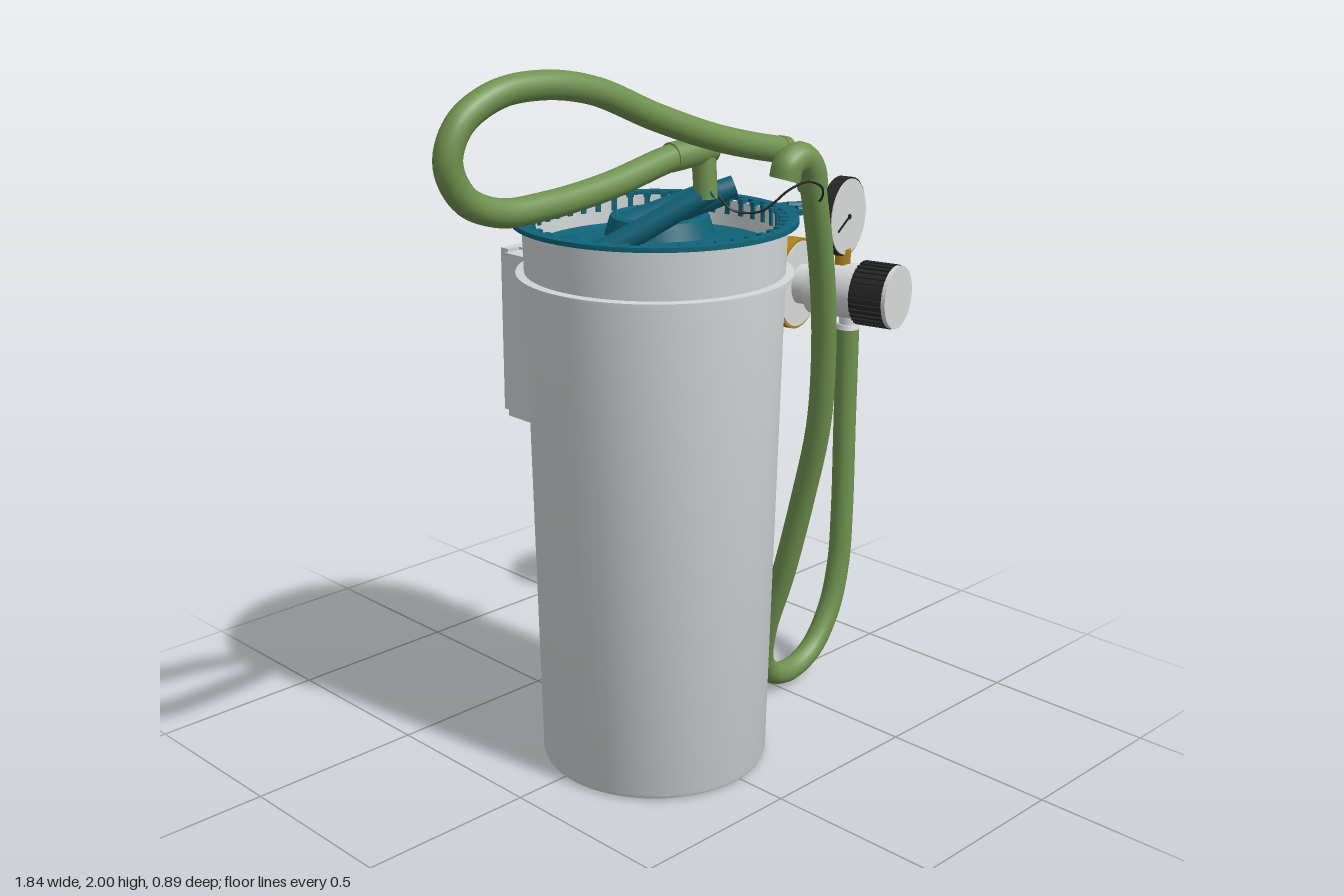
import * as THREE from 'three';
import { toCreasedNormals } from 'three/addons/utils/BufferGeometryUtils.js';

const V = (x, y, z) => new THREE.Vector3(x, y, z);
const mat = (name, color, side = THREE.FrontSide) => {
  const m = new THREE.MeshStandardMaterial({ color, side });
  m.name = name;
  return m;
};

export function createModel() {
  const plastic = mat('pale grey plastic', 0xd0d5d5, THREE.DoubleSide);
  const teal = mat('teal plastic', 0x0f6378, THREE.DoubleSide);
  const green = mat('green hose', 0x6f924f, THREE.DoubleSide);
  const brass = mat('brass', 0xb0831c);
  const black = mat('black', 0x262627);
  const white = mat('light grey metal', 0xd6d7d8);

  const model = new THREE.Group();
  model.name = 'suctionCanister';

  const add = (parent, name, geo, material, x = 0, y = 0, z = 0) => {
    const m = new THREE.Mesh(geo, material);
    m.name = name;
    m.position.set(x, y, z);
    parent.add(m);
    return m;
  };
  const lathe = (pts, seg = 64) => toCreasedNormals(
    new THREE.LatheGeometry(pts.map(p => new THREE.Vector2(p[0], p[1])), seg), 0.6);
  // Cylinder between two points
  const rod = (parent, name, a, b, r0, r1, material, seg = 24) => {
    const d = b.clone().sub(a);
    const m = add(parent, name, new THREE.CylinderGeometry(r1, r0, d.length(), seg), material);
    m.position.copy(a).addScaledVector(d, 0.5);
    m.quaternion.setFromUnitVectors(V(0, 1, 0), d.normalize());
    return m;
  };
  const tube = (parent, name, pts, r, material, seg = 120, sides = 18) => {
    const curve = new THREE.CatmullRomCurve3(pts.map(p => V(...p)), false, 'centripetal');
    return add(parent, name, new THREE.TubeGeometry(curve, seg, r, sides), material);
  };

  // Canister: tapered jar with an open rim and a thin lip
  const jar = new THREE.Group();
  jar.name = 'jar';
  jar.position.set(-0.03, 0, 0.043);
  model.add(jar);
  add(jar, 'canisterBody', lathe([
    [0, 0.004], [0.3, 0.004], [0.311, 0.008], [0.316, 0.02], [0.345, 1.39], [0.368, 1.395],
    [0.368, 1.403], [0.345, 1.405], [0.349, 1.535], [0.338, 1.535], [0.334, 1.42]]), plastic);

  // Lid: rim ring, recessed floor and teeth around the edge
  const lid = new THREE.Group();
  lid.name = 'lid';
  jar.add(lid);
  add(lid, 'lidRim', lathe([[0.349, 1.534], [0.377, 1.534], [0.377, 1.546], [0.349, 1.546], [0.349, 1.534]]), teal);
  add(lid, 'lidFloor', lathe([[0.336, 1.45], [0.325, 1.465], [0.3, 1.455], [0.15, 1.468], [0, 1.472]]), teal);
  const teeth = 44;
  for (let i = 0; i < teeth; i++) {
    const a = i / teeth * Math.PI * 2;
    const t = add(lid, 'lidTooth', new THREE.BoxGeometry(0.03, 0.012, 0.02), teal,
      Math.cos(a) * 0.342, 1.539, Math.sin(a) * 0.342);
    t.rotation.y = -a;
    const leg = add(lid, 'lidToothLeg', new THREE.BoxGeometry(0.006, 0.045, 0.014), teal,
      Math.cos(a) * 0.331, 1.52, Math.sin(a) * 0.331);
    leg.rotation.y = -a;
  }
  // Forked pull tab
  const tab = new THREE.Group();
  tab.name = 'pullTab';
  tab.position.y = 1.54;
  tab.rotation.y = -0.44;
  lid.add(tab);
  add(tab, 'tabBase', new THREE.BoxGeometry(0.03, 0.012, 0.12), teal, 0.385, 0, 0);
  for (const s of [-1, 1]) {
    rod(tab, 'tabProng', V(0.39, 0, s * 0.03), V(0.45, 0, s * 0.024), 0.014, 0.012, teal, 12);
  }

  // Lid hub with angled pouring spout
  add(model, 'spoutHub', lathe([[0.155, 1.45], [0.135, 1.515], [0.12, 1.52], [0.06, 1.495], [0, 1.49]], 40),
    teal, 0.1, 0, -0.07);
  rod(model, 'spout', V(0.01, 1.47, -0.15), V(0.225, 1.575, 0.035), 0.042, 0.04, teal);
  rod(model, 'spoutTip', V(0.21, 1.57, 0.025), V(0.255, 1.59, 0.06), 0.032, 0.03, teal);
  for (const s of [-1, 1]) {
    rod(model, 'spoutClip', V(0.2, 1.58, 0.02), V(0.2 + s * 0.02, 1.63, 0.03 - s * 0.02), 0.009, 0.007, teal, 10);
  }
  add(model, 'sealedPort', lathe([[0.055, 1.45], [0.055, 1.485], [0.045, 1.49], [0, 1.49]], 32), teal, -0.195, 0, -0.1);
  // Angled inlet port
  rod(model, 'inletPort', V(-0.27, 1.48, 0.07), V(-0.06, 1.65, 0.275), 0.034, 0.027, teal);

  // Wall bracket: I-shaped section following the jar
  const outline = [[0.12, -0.39], [0.05, -0.39], [0.05, -0.42], [0.08, -0.42], [0.08, -0.45],
    [-0.145, -0.45], [-0.145, -0.42], [-0.105, -0.42], [-0.105, -0.39], [-0.18, -0.39]];
  for (let i = 0; i <= 10; i++) {
    const x = -0.18 + i * 0.03;
    outline.push([x, 0.043 - Math.sqrt(0.335 ** 2 - (x + 0.03) ** 2)]);
  }
  const section = new THREE.Shape(outline.map(p => new THREE.Vector2(p[0], -p[1])));
  const hole = new THREE.Path();
  hole.absarc(-0.03, 0.355, 0.028, 0, Math.PI * 2, true);
  section.holes.push(hole);
  const bracketGeo = new THREE.ExtrudeGeometry(section, { depth: 0.47, bevelEnabled: false, curveSegments: 16 });
  bracketGeo.rotateX(-Math.PI / 2);
  add(model, 'wallBracket', bracketGeo, plastic, 0, 0.932, 0);

  // Looped patient hose
  tube(model, 'loopHose', [[-0.05, 1.752, 0.255], [-0.17, 1.745, 0.25], [-0.4, 1.705, 0.26], [-0.6, 1.687, 0.265],
    [-0.74, 1.69, 0.265], [-0.84, 1.735, 0.265], [-0.882, 1.82, 0.265], [-0.85, 1.9, 0.268], [-0.75, 1.955, 0.272],
    [-0.62, 1.966, 0.28], [-0.47, 1.94, 0.287], [-0.28, 1.86, 0.3], [-0.1, 1.795, 0.312], [0.04, 1.757, 0.32],
    [0.155, 1.732, 0.325]], 0.034, green, 160);
  rod(model, 'loopHoseEnd', V(0.135, 1.736, 0.324), V(0.16, 1.731, 0.325), 0.036, 0.036, green);
  rod(model, 'inletSleeve', V(-0.18, 1.745, 0.25), V(-0.045, 1.754, 0.255), 0.037, 0.037, green);
  rod(model, 'inletElbow', V(-0.07, 1.63, 0.265), V(-0.07, 1.752, 0.255), 0.03, 0.031, green);

  // Vacuum hose from lid to regulator
  tube(model, 'vacuumHose', [[0.085, 1.68, 0.385], [0.1, 1.715, 0.387], [0.145, 1.73, 0.388], [0.185, 1.695, 0.388],
    [0.207, 1.62, 0.383], [0.27, 1.42, 0.362], [0.32, 1.2, 0.336], [0.352, 0.95, 0.3], [0.367, 0.7, 0.235],
    [0.365, 0.45, 0.17], [0.362, 0.26, 0.11], [0.4, 0.13, 0.07], [0.47, 0.065, 0.055], [0.56, 0.047, 0.045],
    [0.66, 0.085, 0.04], [0.74, 0.19, 0.037], [0.78, 0.33, 0.036], [0.791, 0.5, 0.035], [0.791, 0.8, 0.034],
    [0.791, 1.085, 0.034]], 0.034, green, 220);
  tube(model, 'vacuumElbow', [[0.09, 1.672, 0.385], [0.1, 1.708, 0.387], [0.145, 1.722, 0.388],
    [0.183, 1.69, 0.388], [0.2, 1.64, 0.384]], 0.04, green, 30);
  rod(model, 'vacuumElbowEnd', V(0.09, 1.672, 0.385), V(0.094, 1.686, 0.386), 0.039, 0.039, green);
  // Thin tether between the hose ends
  tube(model, 'tether', [[-0.05, 1.64, 0.285], [-0.02, 1.6, 0.31], [0.02, 1.6, 0.37], [0.07, 1.655, 0.42],
    [0.12, 1.67, 0.435], [0.17, 1.65, 0.44], [0.195, 1.61, 0.415], [0.19, 1.6, 0.385]], 0.003, black, 50, 6);

  // Regulator, turned slightly about its vertical axis
  const reg = new THREE.Group();
  reg.name = 'regulator';
  reg.position.set(0.785, 1.2, 0.005);
  reg.rotation.y = 0.23;
  model.add(reg);
  const axial = (name, z0, z1, r, material, y = 0, seg = 40) =>
    rod(reg, name, V(0, y, z0), V(0, y, z1), r, r, material, seg);
  axial('regulatorBody', -0.085, 0.075, 0.082, white);
  axial('bodyFlange', -0.135, -0.08, 0.06, white);
  axial('knob', 0.07, 0.185, 0.09, black);
  for (let i = 0; i < 32; i++) {
    const a = i / 32 * Math.PI * 2;
    const rib = add(reg, 'knobRib', new THREE.BoxGeometry(0.012, 0.009, 0.105), black,
      Math.cos(a) * 0.09, Math.sin(a) * 0.09, 0.125);
    rib.rotation.z = a;
  }
  axial('knobCap', 0.177, 0.19, 0.094, white);
  axial('wheel', -0.185, -0.137, 0.138, brass, 0, 48);
  axial('wheelFace', -0.138, -0.133, 0.13, white, 0, 48);
  axial('wheelNut', -0.205, -0.18, 0.038, white, 0, 6);
  rod(reg, 'sideStub', V(0.05, 0, 0.005), V(0.125, 0, 0.005), 0.036, 0.036, white);
  // Hose barb under the body
  rod(model, 'hoseBarb', V(0.791, 1.07, 0.034), V(0.791, 1.14, 0.034), 0.027, 0.027, white);
  rod(model, 'hoseBarbCollar', V(0.791, 1.085, 0.034), V(0.791, 1.1, 0.034), 0.036, 0.032, white);

  // Gauge on a brass stem
  rod(reg, 'gaugeStem', V(0, 0.07, 0.005), V(0, 0.125, 0.005), 0.026, 0.026, brass, 6);
  axial('gaugeCase', -0.018, 0.018, 0.117, black, 0.222, 48);
  axial('gaugeFace', 0.016, 0.021, 0.112, white, 0.222, 48);
  const needle = add(reg, 'gaugeNeedle', new THREE.BoxGeometry(0.08, 0.007, 0.003), black, -0.033, 0.206, 0.022);
  needle.rotation.z = 0.45;
  axial('needleHub', 0.02, 0.025, 0.008, black, 0.222, 16);

  return model;
}
